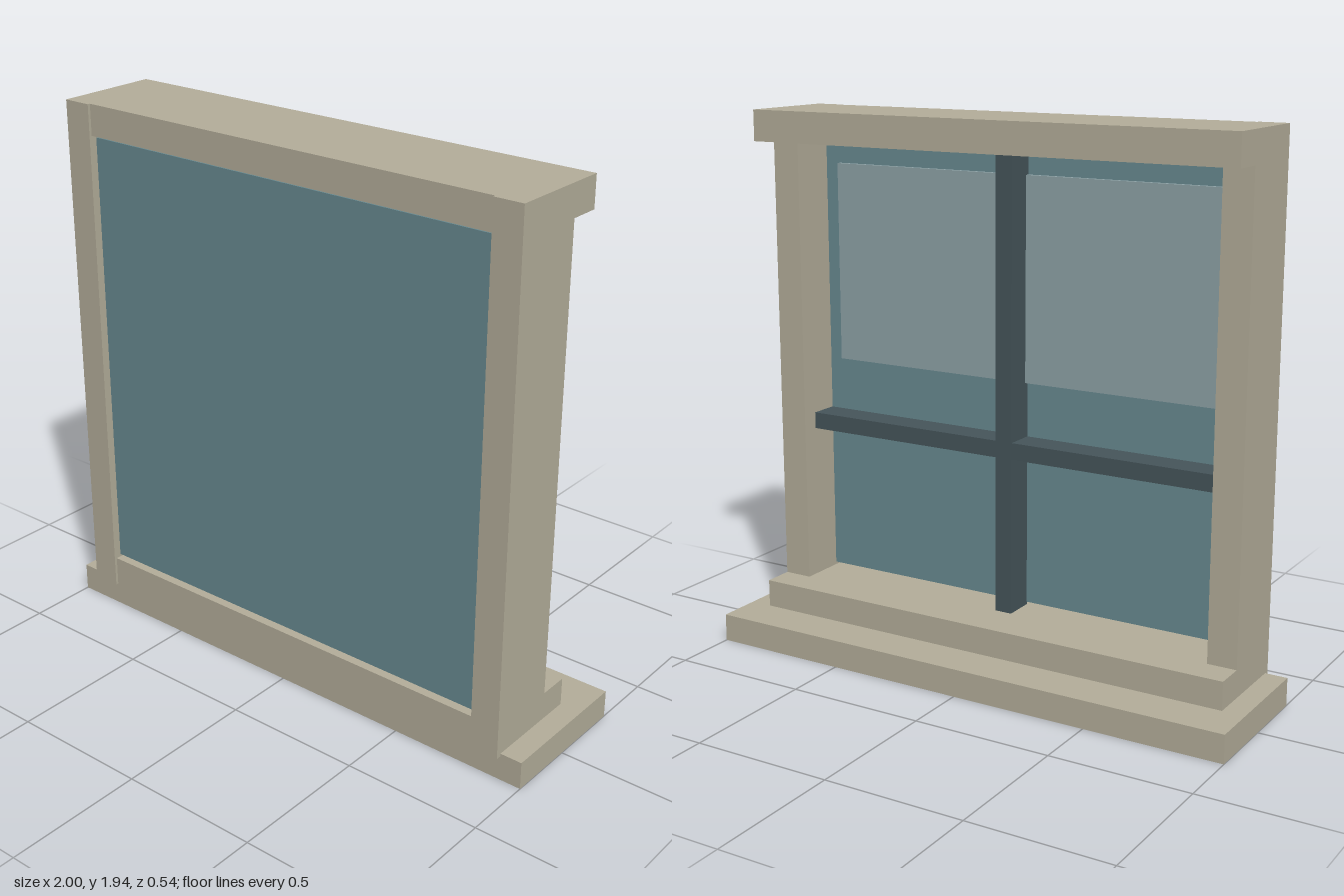
import * as THREE from 'three';

const material = (color) => new THREE.MeshStandardMaterial({ color });

export function createModel() {
  const model = new THREE.Group();
  const frame = material(0xb5af9b);
  const glass = material(0x698b92);
  const pane = material(0x8fa4a8);
  const bars = material(0x46565b);

  // Box given by its extents along x, y and z
  const box = (name, mat, [x0, x1], [y0, y1], [z0, z1]) => {
    const mesh = new THREE.Mesh(new THREE.BoxGeometry(x1 - x0, y1 - y0, z1 - z0), mat);
    mesh.position.set((x0 + x1) / 2, (y0 + y1) / 2, (z0 + z1) / 2);
    mesh.name = name;
    model.add(mesh);
  };

  // Sill and the two horizontal rails
  box('sill', frame, [-1, 1], [0, 0.1], [-0.27, 0.25]);
  box('bottomRail', frame, [-0.92, 0.92], [0.09, 0.2], [-0.11, 0.26]);
  box('topRail', frame, [-0.92, 0.92], [1.83, 1.94], [-0.11, 0.26]);

  // Side posts
  box('leftPost', frame, [0.815, 0.92], [0.09, 1.94], [0, 0.27]);
  box('rightPost', frame, [-0.92, -0.815], [0.09, 1.94], [0, 0.27]);

  // Glazing, with a raised lighter panel on the upper back
  box('glass', glass, [-0.815, 0.815], [0.21, 1.82], [0.17, 0.24]);
  box('upperPane', pane, [-0.755, 0.755], [1.02, 1.74], [0.153, 0.172]);

  // Crossing glazing bars behind the glass
  box('verticalBar', bars, [-0.032, 0.032], [0.2, 1.83], [0.06, 0.172]);
  box('horizontalBar', bars, [-0.815, 0.815], [0.765, 0.825], [0.062, 0.171]);

  return model;
}
